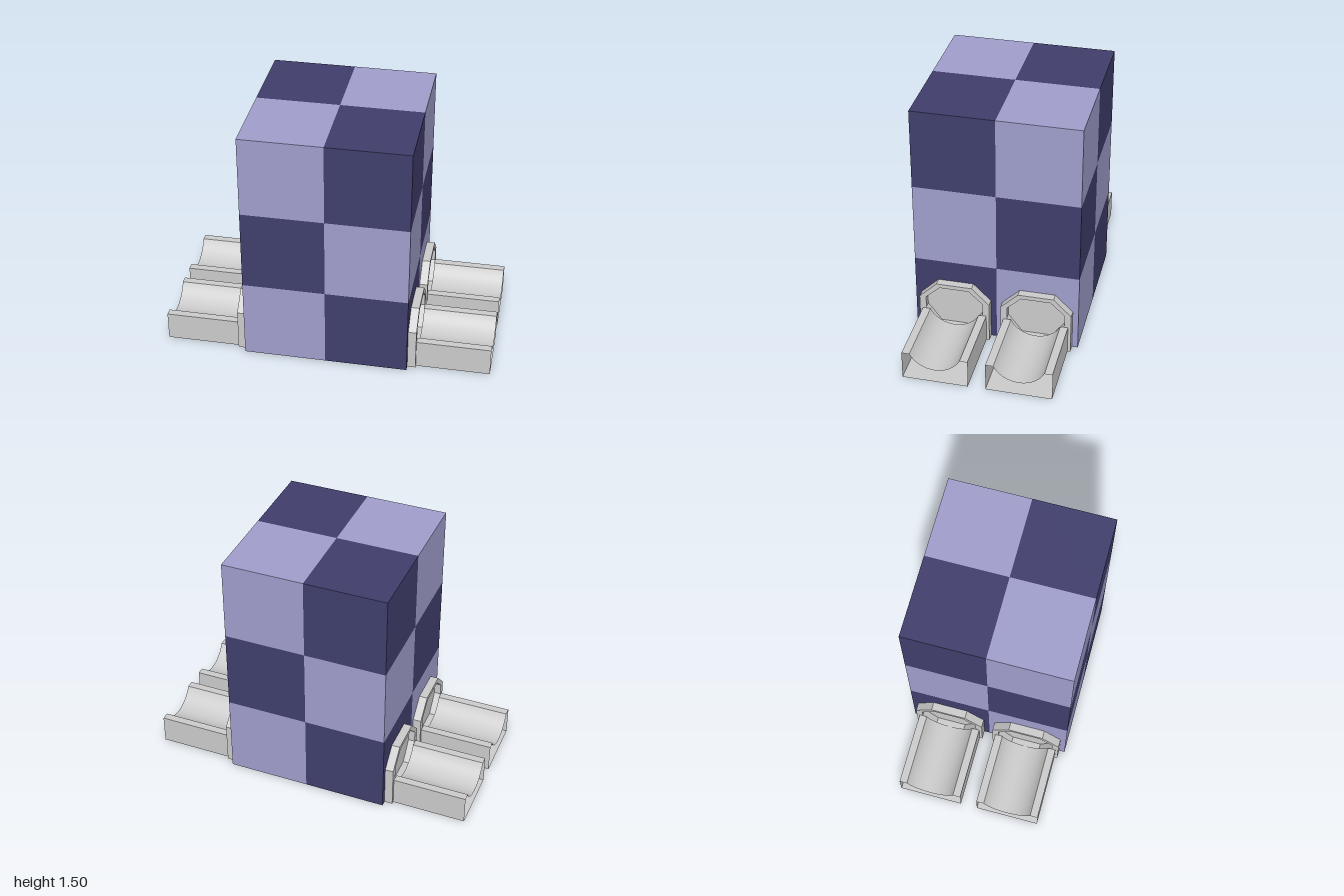
import * as THREE from 'three';
import { toCreasedNormals } from 'three/addons/utils/BufferGeometryUtils.js';

const grey = new THREE.MeshStandardMaterial({ color: 0xcccccc });
const greySheet = new THREE.MeshStandardMaterial({ color: 0xcccccc, side: THREE.DoubleSide });
const dark = new THREE.MeshStandardMaterial({ color: 0x403e6c });
const light = new THREE.MeshStandardMaterial({ color: 0xa09ecc });

const points = (list) => list.map(([x, y]) => new THREE.Vector2(x, y));

function addMesh(parent, name, geometry, material) {
  const mesh = new THREE.Mesh(geometry, material);
  mesh.name = name;
  parent.add(mesh);
  return mesh;
}

// Open-ended tube: a closed counterclockwise outline swept from z0 to z1
function sweepOutline(outline, z0, z1) {
  const pos = [];
  outline.forEach((a, i) => {
    const b = outline[(i + 1) % outline.length];
    pos.push(a.x, a.y, z0, b.x, b.y, z0, b.x, b.y, z1);
    pos.push(a.x, a.y, z0, b.x, b.y, z1, a.x, a.y, z1);
  });
  const geometry = new THREE.BufferGeometry();
  geometry.setAttribute('position', new THREE.Float32BufferAttribute(pos, 3));
  return toCreasedNormals(geometry, 0.5);
}

// Channel outline: flat rims with a round groove between them
function channelOutline() {
  const half = 0.197, height = 0.177, grooveHalf = 0.15, depth = 0.093;
  const radius = (grooveHalf ** 2 + depth ** 2) / (2 * depth);
  const sweep = Math.asin(grooveHalf / radius);
  const outline = [[-half, 0], [half, 0], [half, height]];
  const steps = 16;
  for (let i = 0; i <= steps; i++) {
    const a = sweep * (1 - (2 * i) / steps);
    outline.push([radius * Math.sin(a), height - depth + radius * (1 - Math.cos(a))]);
  }
  outline.push([-half, height]);
  return points(outline);
}

// Eight-sided port with a channel leading out along +z
function createPort() {
  const port = new THREE.Group();
  port.name = 'port';
  const opening = points([
    [-0.09, 0.075], [0.09, 0.075], [0.175, 0.187], [0.175, 0.26],
    [0.09, 0.34], [-0.09, 0.34], [-0.175, 0.26], [-0.175, 0.187],
  ]);

  const frame = new THREE.Shape(points([
    [-0.215, 0], [0.215, 0], [0.215, 0.26], [0.108, 0.366], [-0.108, 0.366], [-0.215, 0.26],
  ]));
  frame.holes.push(new THREE.Path(opening));
  addMesh(port, 'portFrame',
    new THREE.ExtrudeGeometry(frame, { depth: 0.05, bevelEnabled: false }), grey);

  const panel = addMesh(port, 'portPanel',
    new THREE.ShapeGeometry(new THREE.Shape(opening)), grey);
  panel.position.z = 0.01;

  addMesh(port, 'channel', sweepOutline(channelOutline(), 0.05, 0.5), greySheet);
  return port;
}

export function createModel() {
  const model = new THREE.Group();
  model.name = 'checkeredBlock';

  // Body: two by three by two blocks in alternating colours
  const body = new THREE.Group();
  body.name = 'body';
  model.add(body);
  const block = new THREE.BoxGeometry(0.5, 0.5, 0.5);
  for (let x = 0; x < 2; x++) {
    for (let y = 0; y < 3; y++) {
      for (let z = 0; z < 2; z++) {
        const cell = addMesh(body, 'bodyBlock', block, (x + y + z) % 2 ? light : dark);
        cell.position.set(x * 0.5 - 0.25, y * 0.5 + 0.25, z * 0.5 - 0.25);
      }
    }
  }

  // Two ports on each side
  for (const side of [-1, 1]) {
    for (const row of [-1, 1]) {
      const port = createPort();
      port.name = (side > 0 ? 'left' : 'right') + (row > 0 ? 'Front' : 'Back') + 'Port';
      port.position.set(side * 0.5, 0, row * 0.25);
      port.rotation.y = side * Math.PI / 2;
      model.add(port);
    }
  }
  return model;
}
